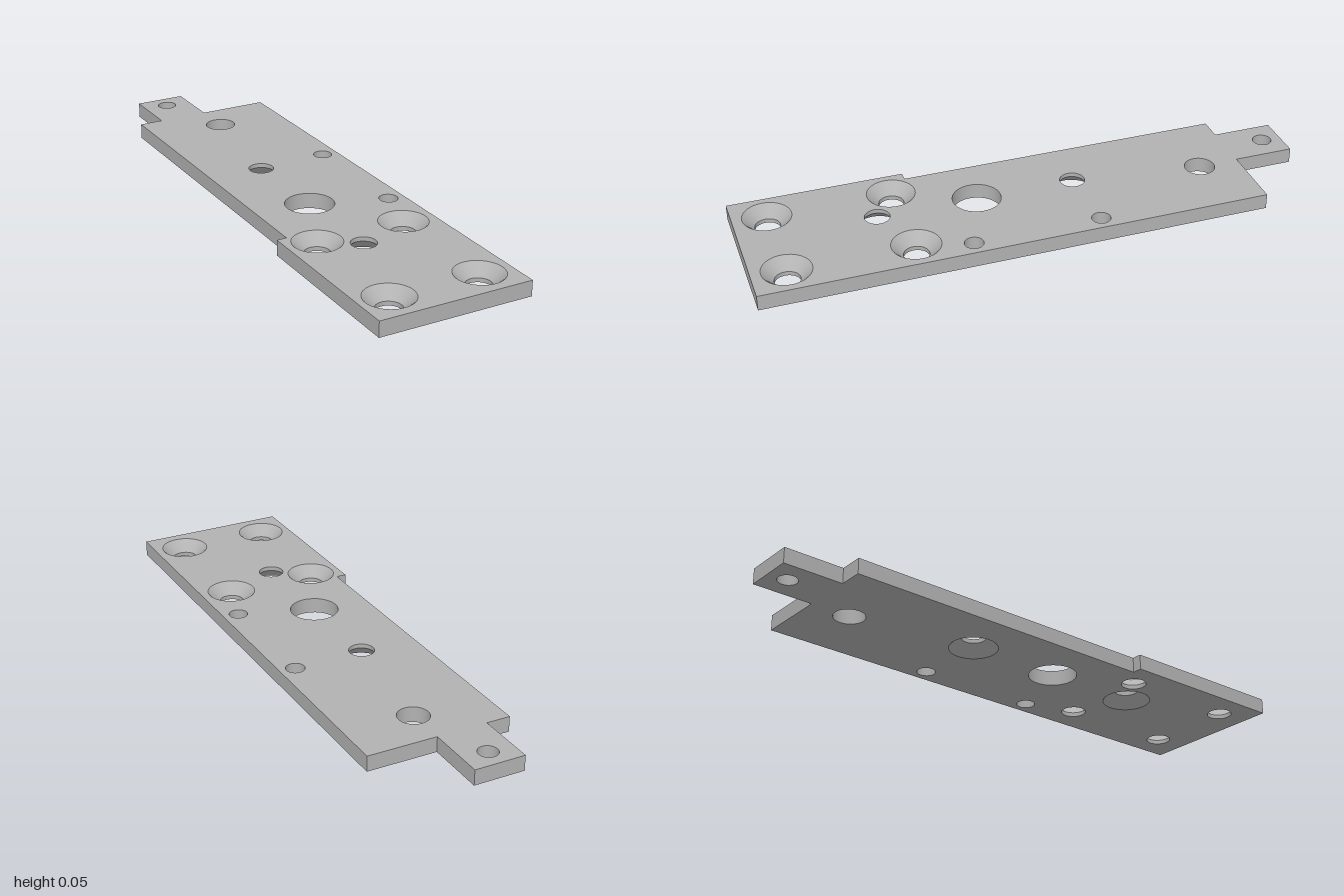
import * as THREE from 'three';

const T = 0.055;          // plate thickness
const LAND = 0.015;       // straight bore left under a countersink
const SEG = 48;

// Outline as [x, z], running along the front edge towards +x first
const outline = [
  [-0.273, 1], [0.273, 1], [0.273, -0.785], [0.027, -0.785], [0.027, -1],
  [-0.153, -1], [-0.153, -0.785], [-0.238, -0.785], [-0.238, 0.375], [-0.273, 0.375],
];

// Holes: x, z, radius at the top, radius at the bottom
const BORE = 0.044, SINK = 0.085;
const holes = [
  [-0.064, -0.93, 0.034, 0.034],
  [0.027, -0.64, 0.054, 0.054],
  [0.217, -0.19, 0.033, 0.033],
  [0.217, 0.262, 0.033, 0.033],
  [-0.039, 0.172, SINK, SINK],
  [-0.039, -0.18, BORE, SINK],
  [-0.039, 0.526, BORE, SINK],
];
for (const x of [-0.164, 0.161]) for (const z of [0.445, 0.88]) holes.push([x, z, SINK, BORE]);

// Flat face with the hole radii of its own side
function face(sign, radiusIndex) {
  const shape = new THREE.Shape(outline.map(([x, z]) => new THREE.Vector2(x, -sign * z)));
  for (const h of holes) {
    shape.holes.push(new THREE.Path().absarc(h[0], -sign * h[1], h[radiusIndex], 0, Math.PI * 2, true));
  }
  return new THREE.ShapeGeometry(shape, SEG / 2).rotateX(-sign * Math.PI / 2);
}

export function createModel() {
  const metal = new THREE.MeshStandardMaterial({ color: 0xb2b2b2 });
  metal.name = 'grey metal';
  const model = new THREE.Group();
  model.name = 'mountingPlate';

  const add = (name, geometry, parent = model) => {
    const mesh = new THREE.Mesh(geometry, metal);
    mesh.name = name;
    parent.add(mesh);
    return mesh;
  };

  // Top and bottom faces
  add('topFace', face(1, 2)).position.y = T;
  add('bottomFace', face(-1, 3));

  // Outer edge, one flat wall per outline segment
  const edge = new THREE.Group();
  edge.name = 'outerEdge';
  model.add(edge);
  outline.forEach(([x0, z0], i) => {
    const [x1, z1] = outline[(i + 1) % outline.length];
    const wall = add('edgeWall', new THREE.PlaneGeometry(Math.hypot(x1 - x0, z1 - z0), T), edge);
    wall.rotation.y = Math.atan2(z0 - z1, x1 - x0);
    wall.position.set((x0 + x1) / 2, T / 2, (z0 + z1) / 2);
  });

  // Hole walls, run from top to bottom so that they face inwards
  for (const [x, z, top, bottom] of holes) {
    const hole = new THREE.Group();
    hole.name = top === bottom ? 'plainHole' : 'countersunkHole';
    hole.position.set(x, 0, z);
    model.add(hole);
    const profile = [[top, T], [bottom, 0]];
    if (top > bottom) profile.splice(1, 0, [bottom, LAND]);
    if (top < bottom) profile.splice(1, 0, [top, T - LAND]);
    for (let i = 0; i + 1 < profile.length; i++) {
      const points = [profile[i], profile[i + 1]].map(p => new THREE.Vector2(...p));
      add(points[0].x === points[1].x ? 'bore' : 'countersink', new THREE.LatheGeometry(points, SEG), hole);
    }
  }
  return model;
}
